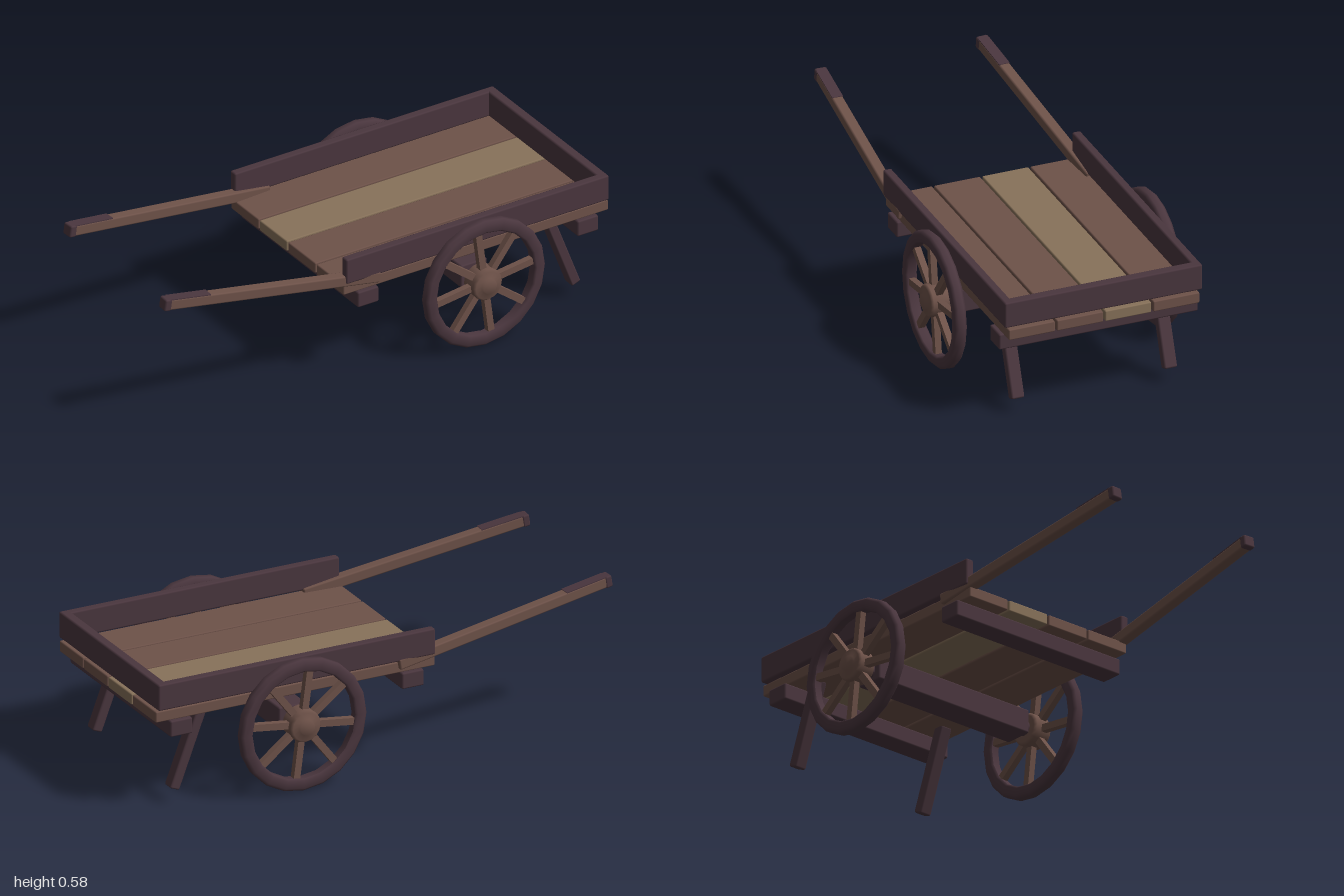
import * as THREE from 'three';
import { RoundedBoxGeometry } from 'three/addons/geometries/RoundedBoxGeometry.js';

const material = (name, color) => {
  const m = new THREE.MeshStandardMaterial({ color });
  m.name = name;
  return m;
};

export function createModel() {
  const dark = material('dark wood', 0x4a363e);
  const brown = material('brown wood', 0x6e5249);
  const tan = material('tan wood', 0x88725a);
  const cart = new THREE.Group();
  cart.name = 'handcart';

  const add = (parent, name, geometry, mat) => {
    const mesh = new THREE.Mesh(geometry, mat);
    mesh.name = name;
    parent.add(mesh);
    return mesh;
  };
  // Chamfered box given by its extents on each axis
  const box = (name, mat, [x0, x1], [y0, y1], [z0, z1], r = 0.007) => {
    const mesh = add(cart, name, new RoundedBoxGeometry(x1 - x0, y1 - y0, z1 - z0, 1, r), mat);
    mesh.position.set((x0 + x1) / 2, (y0 + y1) / 2, (z0 + z1) / 2);
    return mesh;
  };
  // Chamfered bar running from a to b, with its length along local z
  const bar = (name, mat, a, b, w, h) => {
    const from = new THREE.Vector3(...a), to = new THREE.Vector3(...b);
    const mesh = add(cart, name, new RoundedBoxGeometry(w, h, from.distanceTo(to), 1, 0.007), mat);
    mesh.position.copy(from).add(to).multiplyScalar(0.5);
    mesh.lookAt(to);
    return mesh;
  };

  // Floor planks
  [-0.3, -0.1, 0.1, 0.3].forEach((z, i) =>
    box('floorPlank', i === 1 ? tan : brown, [-0.21, 0.995], [0.38, 0.425], [z - 0.096, z + 0.096], 0.005));

  // Cross beams, axle beam and end board
  box('rearCrossBeam', dark, [-0.155, -0.06], [0.315, 0.382], [-0.413, 0.413]);
  box('endCrossBeam', dark, [0.845, 0.94], [0.315, 0.382], [-0.413, 0.413]);
  box('axleBeam', dark, [0.335, 0.455], [0.232, 0.33], [-0.38, 0.38]);
  add(cart, 'axle', new THREE.CylinderGeometry(0.03, 0.03, 0.84, 12), dark)
    .rotateX(Math.PI / 2).position.set(0.39, 0.278, 0);
  box('endBoard', dark, [0.95, 0.99], [0.432, 0.54], [-0.41, 0.41]);

  // Wheel parts, turned around y and then laid along z
  const rimProfile = [[0.222, -0.016], [0.23, -0.024], [0.26, -0.024], [0.272, -0.012],
    [0.272, 0.012], [0.26, 0.024], [0.23, 0.024], [0.222, 0.016], [0.222, -0.016]];
  const hubProfile = [[0, -0.045], [0.055, -0.045], [0.066, -0.035], [0.066, 0.028], [0.058, 0.038],
    [0.032, 0.038], [0.03, 0.05], [0, 0.05]];
  const lathe = (profile, sides) => {
    const g = new THREE.LatheGeometry(profile.map(p => new THREE.Vector2(...p)), sides);
    return g.rotateX(Math.PI / 2);
  };

  for (const s of [1, -1]) {
    // Side boards
    box('sideBoard', dark, [-0.205, 0.985], [0.432, 0.54], s > 0 ? [0.375, 0.41] : [-0.41, -0.375]);

    // Splayed legs
    bar('leg', dark, [0.76, 0.39, s * 0.317], [0.885, 0.063, s * 0.317], 0.053, 0.042);

    // Handle with a dark end cap and a dark top on the grip
    const handle = bar('handle', brown, [-0.05, 0.418, s * 0.39], [-0.975, 0.558, s * 0.336], 0.045, 0.045);
    const half = handle.geometry.parameters?.depth / 2 || 0.469;
    const cap = add(handle, 'handleEnd', new RoundedBoxGeometry(0.049, 0.049, 0.03, 1, 0.007), dark);
    cap.position.z = half + 0.006;
    const plate = add(handle, 'gripTop', new THREE.BoxGeometry(0.044, 0.004, 0.18), dark);
    plate.position.set(0, 0.0225, half - 0.09);

    // Wheels
    const wheel = new THREE.Group();
    wheel.name = s > 0 ? 'frontWheel' : 'backWheel';
    wheel.position.set(0.392, 0.278, s * 0.449);
    add(wheel, 'rim', lathe(rimProfile, 20), dark);
    const hub = add(wheel, 'hub', lathe(hubProfile, 16), brown);
    if (s < 0) hub.rotation.y = Math.PI;
    for (let i = 0; i < 8; i++) {
      const a = 0.13 + i * Math.PI / 4;
      const spoke = add(wheel, 'spoke', new THREE.BoxGeometry(0.18, 0.028, 0.026), brown);
      spoke.position.set(Math.cos(a) * 0.143, Math.sin(a) * 0.143, 0);
      spoke.rotation.z = a;
    }
    cart.add(wheel);
  }
  return cart;
}
